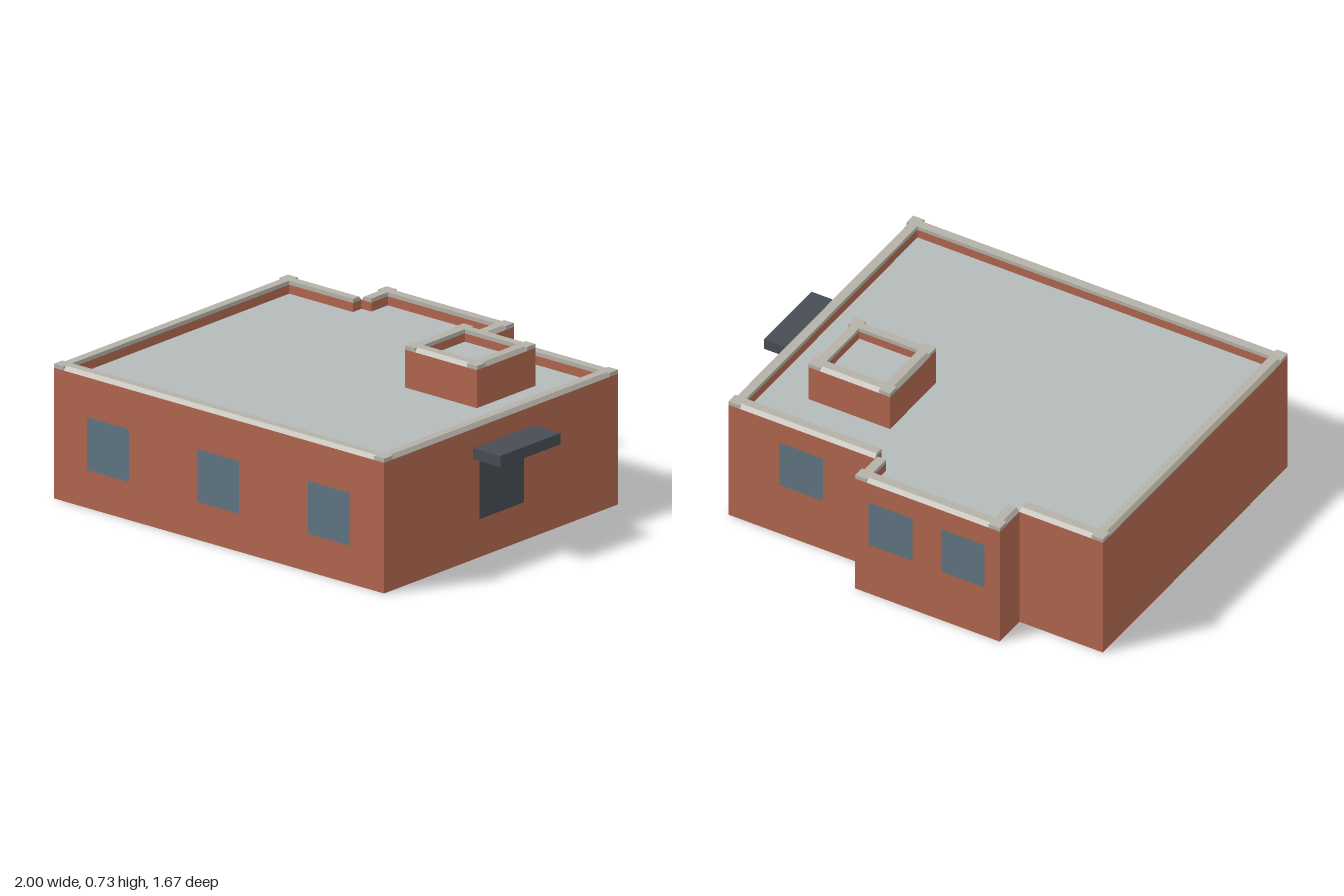
import * as THREE from 'three';

const mat = (color, side = THREE.FrontSide) => new THREE.MeshStandardMaterial({ color, side, flatShading: true });
const brick = mat(0xb0664f, THREE.DoubleSide);
const stone = mat(0xb4b1a8);
const roofing = mat(0xb4b9ba, THREE.DoubleSide);
const glass = mat(0x5f7482, THREE.DoubleSide);
const dark = mat(0x474c55, THREE.DoubleSide);

const W = 0.055;      // parapet width
const CAP = 0.018;    // coping height
const BEVEL = 0.015;  // coping outer slope

function add(parent, name, geometry, material, x = 0, y = 0, z = 0) {
  const mesh = new THREE.Mesh(geometry, material);
  mesh.name = name;
  mesh.position.set(x, y, z);
  parent.add(mesh);
  return mesh;
}

// Open-bottomed walled block with flat roof, parapet and coping around an [x, z] outline
function block(name, outline, roofY, topY) {
  const group = new THREE.Group();
  group.name = name;
  const wallTop = topY - CAP;
  const n = outline.length;
  const at = i => new THREE.Vector2(...outline[(i + n) % n]);
  const isOuterCorner = i => at(i).sub(at(i - 1)).cross(at(i + 1).sub(at(i))) < 0;

  const shape = new THREE.Shape(outline.map(([x, z]) => new THREE.Vector2(x, -z)));
  add(group, 'roof', new THREE.ShapeGeometry(shape).rotateX(-Math.PI / 2), roofing, 0, roofY, 0);

  const profile = new THREE.Shape([[0, 0], [W, 0], [W, CAP], [BEVEL, CAP]].map(p => new THREE.Vector2(...p)));

  for (let i = 0; i < n; i++) {
    // Side frame: x along the wall, z outward
    const a = at(i), d = at(i + 1).sub(a), length = d.length();
    const side = new THREE.Group();
    side.name = 'wallSide';
    side.position.set(a.x, 0, a.y);
    side.rotation.y = Math.atan2(-d.y, d.x);
    group.add(side);

    add(side, 'wall', new THREE.PlaneGeometry(length, wallTop), brick, length / 2, wallTop / 2, 0);
    const parapetH = wallTop - roofY - 0.002;
    add(side, 'parapet', new THREE.BoxGeometry(length, parapetH, W), brick,
      length / 2, wallTop - parapetH / 2, -W / 2);

    const start = isOuterCorner(i) ? W : 0;
    const end = length - (isOuterCorner(i + 1) ? W : 0);
    const coping = new THREE.ExtrudeGeometry(profile, { depth: end - start, bevelEnabled: false }).rotateY(Math.PI / 2);
    add(side, 'coping', coping, stone, start, wallTop, 0);
    if (start) add(side, 'cornerCap', new THREE.BoxGeometry(W, CAP, W), stone, W / 2, wallTop + CAP / 2, -W / 2);
  }
  return group;
}

export function createModel() {
  const model = new THREE.Group();
  model.name = 'building';

  model.add(block('mainBuilding', [
    [-1, 0.83], [0.84, 0.83], [0.84, -0.67], [0.12, -0.67],
    [0.12, -0.83], [-0.59, -0.83], [-0.59, -0.67], [-1, -0.67],
  ], 0.54, 0.6));
  model.add(block('roofHut', [[0.2, -0.04], [0.6, -0.04], [0.6, -0.415], [0.2, -0.415]], 0.67, 0.727));

  // Front windows
  for (const x of [-0.695, -0.083, 0.535])
    add(model, 'frontWindow', new THREE.PlaneGeometry(0.235, 0.235), glass, x, 0.288, 0.833);

  // Back windows: one on the main wall, two on the projecting bay
  for (const [x, z] of [[0.48, -0.673], [-0.055, -0.833], [-0.41, -0.833]])
    add(model, 'backWindow', new THREE.PlaneGeometry(0.215, 0.225), glass, x, 0.372, z).rotation.y = Math.PI;

  // Side door with canopy
  add(model, 'door', new THREE.PlaneGeometry(0.285, 0.285), dark, 0.843, 0.313, 0.08).rotation.y = Math.PI / 2;
  add(model, 'canopy', new THREE.BoxGeometry(0.152, 0.05, 0.385), dark, 0.924, 0.476, 0.077);

  return model;
}
